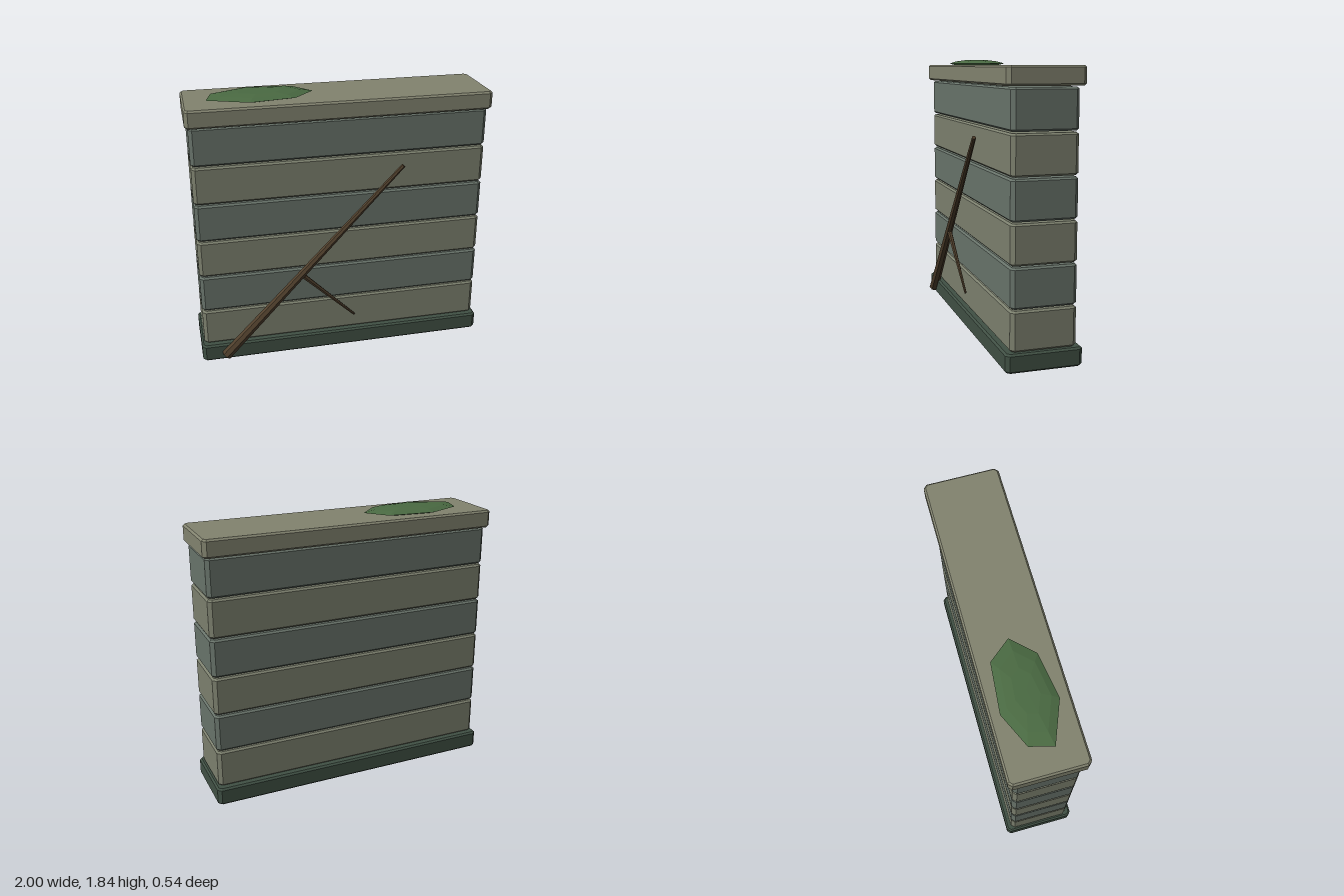
import * as THREE from 'three';

const mat = (color) => new THREE.MeshStandardMaterial({ color, flatShading: true });
const DEPTH_CENTRE = -0.02;

// Stone slab with chamfered corners and bevelled top and bottom rims
function slab(name, width, depth, y0, y1, material) {
  const w = width / 2, d = depth / 2, c = 0.024, b = 0.012;
  const outline = [[w, -d + c], [w, d - c], [w - c, d], [-w + c, d],
    [-w, d - c], [-w, -d + c], [-w + c, -d], [w - c, -d]];
  const geo = new THREE.ExtrudeGeometry(
    new THREE.Shape(outline.map(([x, y]) => new THREE.Vector2(x, y))),
    { depth: y1 - y0 - 2 * b, bevelThickness: b, bevelSize: b, bevelOffset: -b, bevelSegments: 1 });
  geo.rotateX(-Math.PI / 2).translate(0, y0 + b, DEPTH_CENTRE);
  const mesh = new THREE.Mesh(geo, material);
  mesh.name = name;
  return mesh;
}

// Tapered stick between two points
function stick(name, from, to, r0, r1, sides, material) {
  const a = new THREE.Vector3(...from), dir = new THREE.Vector3(...to).sub(a);
  const mesh = new THREE.Mesh(new THREE.CylinderGeometry(r1, r0, dir.length(), sides), material);
  mesh.position.copy(a).addScaledVector(dir, 0.5);
  mesh.quaternion.setFromUnitVectors(new THREE.Vector3(0, 1, 0), dir.normalize());
  mesh.name = name;
  return mesh;
}

// Flat mound: a lathe whose rings follow an irregular outline
function mossPatch(material) {
  const outline = [[-0.585, 0.155], [-0.29, 0.11], [-0.155, -0.03], [-0.27, -0.17],
    [-0.59, -0.2], [-0.81, -0.1], [-0.85, 0.05]];
  const profile = [[0, 1.8], [0.75, 1.8], [1, 1.813], [0.75, 1.828], [0.42, 1.837], [0, 1.838]]
    .map(([r, y]) => new THREE.Vector2(r, y));
  const geo = new THREE.LatheGeometry(profile, outline.length);
  const pos = geo.attributes.position, cx = -0.5, cz = -0.02;
  for (let i = 0; i < pos.count; i++) {
    const [x, z] = outline[Math.floor(i / profile.length) % outline.length];
    const r = profile[i % profile.length].x;
    pos.setX(i, cx + (x - cx) * r);
    pos.setZ(i, cz + (z - cz) * r);
  }
  geo.computeVertexNormals();
  const mesh = new THREE.Mesh(geo, material);
  mesh.name = 'mossPatch';
  return mesh;
}

export function createModel() {
  const group = new THREE.Group();
  group.name = 'stoneWall';
  const olive = mat(0x7c806e), grey = mat(0x68736a), bark = mat(0x4f3f2c);

  // Footing and cap
  group.add(slab('base', 2, 0.49, 0, 0.12, mat(0x405044)));
  group.add(slab('cap', 2, 0.49, 1.685, 1.803, mat(0x82836f)));

  // Six alternating courses with thin gaps
  for (let i = 0; i < 6; i++) {
    const y = 0.122 + i * 0.261;
    group.add(slab(`course${i + 1}`, 1.96, 0.42, y, y + 0.252, i % 2 ? grey : olive));
  }

  // Branch leaning across the front, with a side twig
  group.add(stick('branch', [-0.84, 0.04, 0.235], [0.395, 1.35, 0.246], 0.036, 0.014, 7, bark));
  group.add(stick('twig', [-0.3, 0.615, 0.24], [0.075, 0.24, 0.22], 0.018, 0.008, 6, bark));

  // Moss on the cap
  group.add(mossPatch(mat(0x4a6a42)));
  return group;
}
